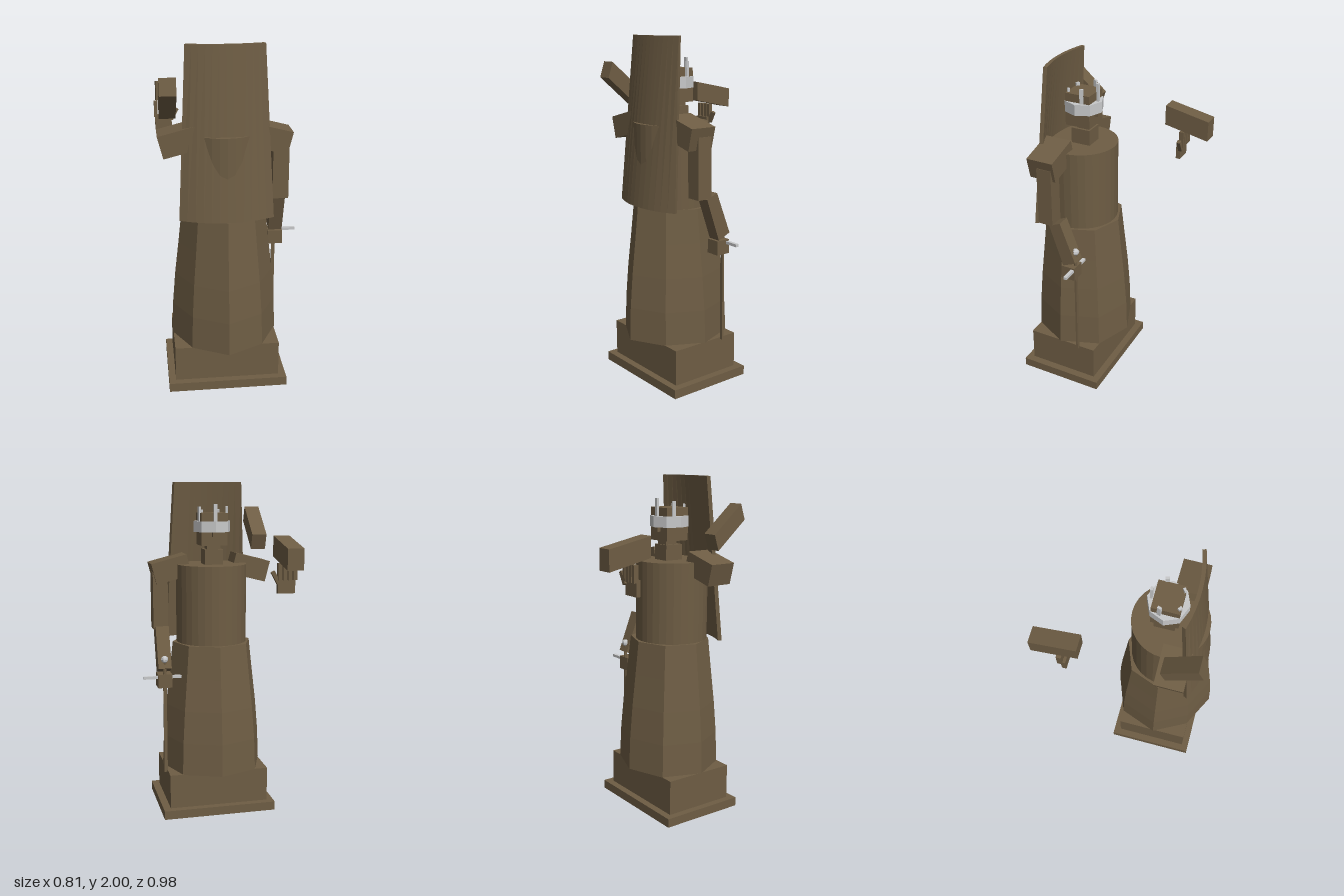
import * as THREE from 'three';

export function createModel() {
  const root = new THREE.Group();
  const bronze = new THREE.MeshStandardMaterial({ color: 0x6e5d44, flatShading: true });
  bronze.name = 'bronze';
  const silver = new THREE.MeshStandardMaterial({ color: 0xc8c9ca, flatShading: true });
  silver.name = 'silver';
  const smoothBronze = bronze;
  const CX = -0.037; // axis of the figure

  const add = (name, geo, mat = bronze, x = 0, y = 0, z = 0) => {
    const m = new THREE.Mesh(geo, mat);
    m.name = name;
    m.position.set(x, y, z);
    root.add(m);
    return m;
  };
  // box from min/max limits
  const box = (name, x0, x1, y0, y1, z0, z1, mat) =>
    add(name, new THREE.BoxGeometry(x1 - x0, y1 - y0, z1 - z0), mat,
      (x0 + x1) / 2, (y0 + y1) / 2, (z0 + z1) / 2);
  // prism along x from a (z, y) outline
  const prism = (name, x0, x1, pts) => {
    const s = new THREE.Shape(pts.map(p => new THREE.Vector2(p[0], p[1])));
    const g = new THREE.ExtrudeGeometry(s, { depth: x1 - x0, bevelEnabled: false });
    g.rotateY(-Math.PI / 2);
    g.translate(x1, 0, 0);
    return add(name, g);
  };

  // Plinth
  box('foundationStrip', -0.235, 0.16, 0, 0.015, 0.11, 0.155);
  box('plinthSlab', -0.38, 0.31, 0.01, 0.063, -0.092, 0.426);
  box('plinthBlock', -0.34, 0.266, 0.06, 0.272, -0.05, 0.385);

  // Eight-sided flared robe, slightly narrower at its front corners
  const robe = new THREE.CylinderGeometry(1, 1, 0.78, 8, 4);
  const radii = [0.31, 0.302, 0.285, 0.262, 0.24];
  const p = robe.attributes.position;
  for (let i = 0; i < p.count; i++) {
    const x = p.getX(i), y = p.getY(i), z = p.getZ(i);
    const diagonal = Math.abs(x * z) > 0.1;
    const r = radii[Math.round((y + 0.39) / 0.195)] * (diagonal ? (z > 0 ? 0.93 : 1.03) : 1);
    p.setXYZ(i, x * r, y, z * r);
  }
  robe.computeVertexNormals();
  add('robe', robe, bronze, CX, 0.66, 0.178);

  // Torso
  add('torso', new THREE.CylinderGeometry(0.213, 0.213, 0.48, 32), smoothBronze, CX, 1.28, 0.178);

  // Curved leaning cape
  const cape = new THREE.BoxGeometry(2, 1, 1, 12, 1, 1);
  const c = cape.attributes.position;
  for (let i = 0; i < c.count; i++) {
    const u = c.getX(i), t = c.getY(i) + 0.5, d = c.getZ(i) - 0.5;
    const half = THREE.MathUtils.lerp(0.262, 0.213, t);
    const sag = THREE.MathUtils.lerp(0.066, 0.03, t);
    const mid = THREE.MathUtils.lerp(0.418, 0.312, t);
    c.setXYZ(i, CX + u * half * (1 + d * 0.04), 1.053 + 0.947 * t, mid - sag * u * u + d * 0.02);
  }
  cape.computeVertexNormals();
  add('cape', cape);

  // Shoulders
  for (const [name, x, z, tilt] of [['rightShoulder', -0.285, 0.255, 0.25], ['leftShoulder', 0.208, 0.238, -0.25]]) {
    add(name, new THREE.BoxGeometry(0.22, 0.128, 0.16), bronze, x, 1.49, z).rotation.z = tilt;
  }

  // Lowered arm resting on the sword
  box('leftUpperArm', 0.23, 0.32, 1.13, 1.473, 0.175, 0.265);
  prism('leftForearm', 0.235, 0.315, [[0.2, 1.125], [0.115, 0.88], [0.037, 0.915], [0.13, 1.155]]);
  box('leftHand', 0.232, 0.317, 0.795, 0.877, 0.042, 0.127);

  // Raised arm
  prism('rightUpperArm', -0.392, -0.302, [[0.39, 1.85], [0.42, 1.76], [0.232, 1.597], [0.203, 1.687]]);
  prism('rightForearm', -0.392, -0.3, [[-0.228, 1.708], [-0.228, 1.593], [-0.488, 1.538], [-0.488, 1.655]]);
  box('rightPalm', -0.4, -0.3, 1.395, 1.485, -0.328, -0.303);
  for (let i = 0; i < 4; i++) {
    const x = -0.405 + i * 0.029;
    box('rightFinger', x, x + 0.022, 1.47, 1.565, -0.345, -0.318);
  }
  add('rightThumb', new THREE.BoxGeometry(0.022, 0.075, 0.022), bronze, -0.285, 1.485, -0.33).rotation.z = -0.5;

  // Sword
  const SX = 0.275, SZ = 0.055;
  box('swordBlade', SX - 0.01, SX + 0.01, 0.262, 0.85, SZ - 0.006, SZ + 0.006);
  box('swordGuard', 0.16, 0.403, 0.852, 0.868, SZ - 0.01, SZ + 0.01, silver);
  add('swordGrip', new THREE.CylinderGeometry(0.011, 0.011, 0.09, 8), bronze, SX, 0.91, SZ);
  add('swordPommel', new THREE.SphereGeometry(0.022, 6, 6), silver, SX, 0.967, SZ);

  // Head
  box('neck', CX - 0.055, CX + 0.055, 1.51, 1.61, 0.095, 0.21);
  box('throat', CX - 0.04, CX + 0.04, 1.6, 1.64, 0.105, 0.18);
  box('head', CX - 0.079, CX + 0.079, 1.633, 1.822, 0.082, 0.232);
  box('nose', CX - 0.015, CX + 0.015, 1.685, 1.715, 0.06, 0.09);

  // Crown with five points, tallest over the face
  add('crownBand', new THREE.CylinderGeometry(0.112, 0.112, 0.063, 8), silver, CX, 1.743, 0.156);
  const tops = [1.876, 1.86, 1.84, 1.84, 1.86];
  tops.forEach((top, i) => {
    const a = (i * Math.PI * 2) / 5;
    const h = top - 1.74;
    const m = add('crownPoint', new THREE.BoxGeometry(0.021, h, 0.013), silver,
      CX + Math.sin(a) * 0.087, 1.74 + h / 2, 0.154 - Math.cos(a) * 0.087);
    m.rotation.y = -a;
  });

  return root;
}
